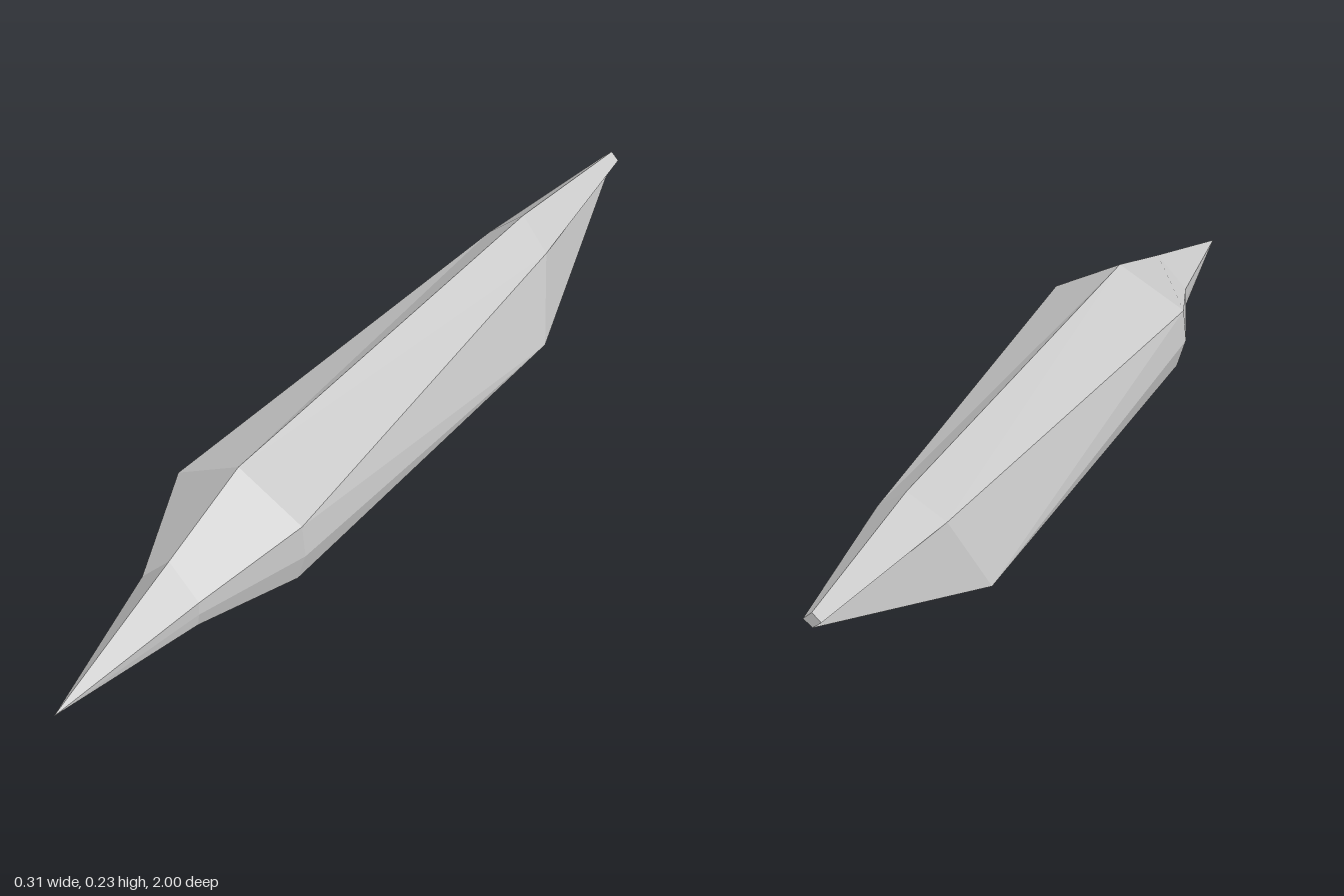
import * as THREE from 'three';

// Half cross-sections from nose to tail: ridge, shoulder, flank, chine, keel.
const nose = [0, 0.037, 1];
const sections = [
  [nose, nose, nose, nose, nose],
  [[0, 0.155, 0.645], [0.067, 0.085, 0.645], [0.066, 0.055, 0.645], [0.062, 0.027, 0.645], [0, 0.018, 0.645]],
  [[0, 0.232, 0.42], [0.147, 0.152, 0.42], [0.154, 0.082, 0.42], [0.135, 0.018, 0.42], [0, 0.018, 0.42]],
  [[0, 0.232, -0.62], [0.072, 0.172, -0.6], [0.125, 0, -0.52], [0.125, 0, -0.52], [0, 0, -0.52]],
  [[0, 0.192, -1], [0.018, 0.175, -1], [0, 0.16, -1], [0, 0.16, -1], [0, 0.16, -1]],
];
const MIDDLE = 2; // long middle span, whose panels are split into two facets

function buildHull() {
  const positions = [];
  const normals = [];
  const same = (p, q) => p.every((v, i) => v === q[i]);

  // Unit normal from two directions, each given by its end points
  const normalOf = (p0, p1, q0, q1) => {
    const u = new THREE.Vector3(...p1).sub(new THREE.Vector3(...p0));
    const v = new THREE.Vector3(...q1).sub(new THREE.Vector3(...q0));
    return u.cross(v).normalize();
  };

  // Adds a triangle and its mirror image, skipping collapsed ones
  const addPair = (a, b, c, n = normalOf(a, b, a, c)) => {
    if (same(a, b) || same(b, c) || same(a, c)) return;
    positions.push(...a, ...b, ...c);
    for (const [x, y, z] of [a, c, b]) positions.push(-x, y, z);
    for (const side of [1, -1]) {
      for (let i = 0; i < 3; i++) normals.push(side * n.x, n.y, n.z);
    }
  };

  // Panels between neighbouring sections; end panels are shaded as one face
  for (let k = 0; k < sections.length - 1; k++) {
    for (let j = 0; j < 4; j++) {
      const a = sections[k][j], b = sections[k][j + 1];
      const c = sections[k + 1][j + 1], d = sections[k + 1][j];
      const n = k === MIDDLE ? undefined : normalOf(a, c, b, d);
      addPair(a, b, c, n);
      addPair(a, c, d, n);
    }
  }

  // Small diamond cap at the tail
  const [ridge, shoulder, keel] = sections[sections.length - 1];
  addPair(ridge, shoulder, keel);

  const geometry = new THREE.BufferGeometry();
  geometry.setAttribute('position', new THREE.Float32BufferAttribute(positions, 3));
  geometry.setAttribute('normal', new THREE.Float32BufferAttribute(normals, 3));
  return geometry;
}

export function createModel() {
  const group = new THREE.Group();
  group.name = 'facetedHull';
  const grey = new THREE.MeshStandardMaterial({ color: 0xc8c8c8 });
  grey.name = 'lightGrey';
  const hull = new THREE.Mesh(buildHull(), grey);
  hull.name = 'hull';
  group.add(hull);
  return group;
}
